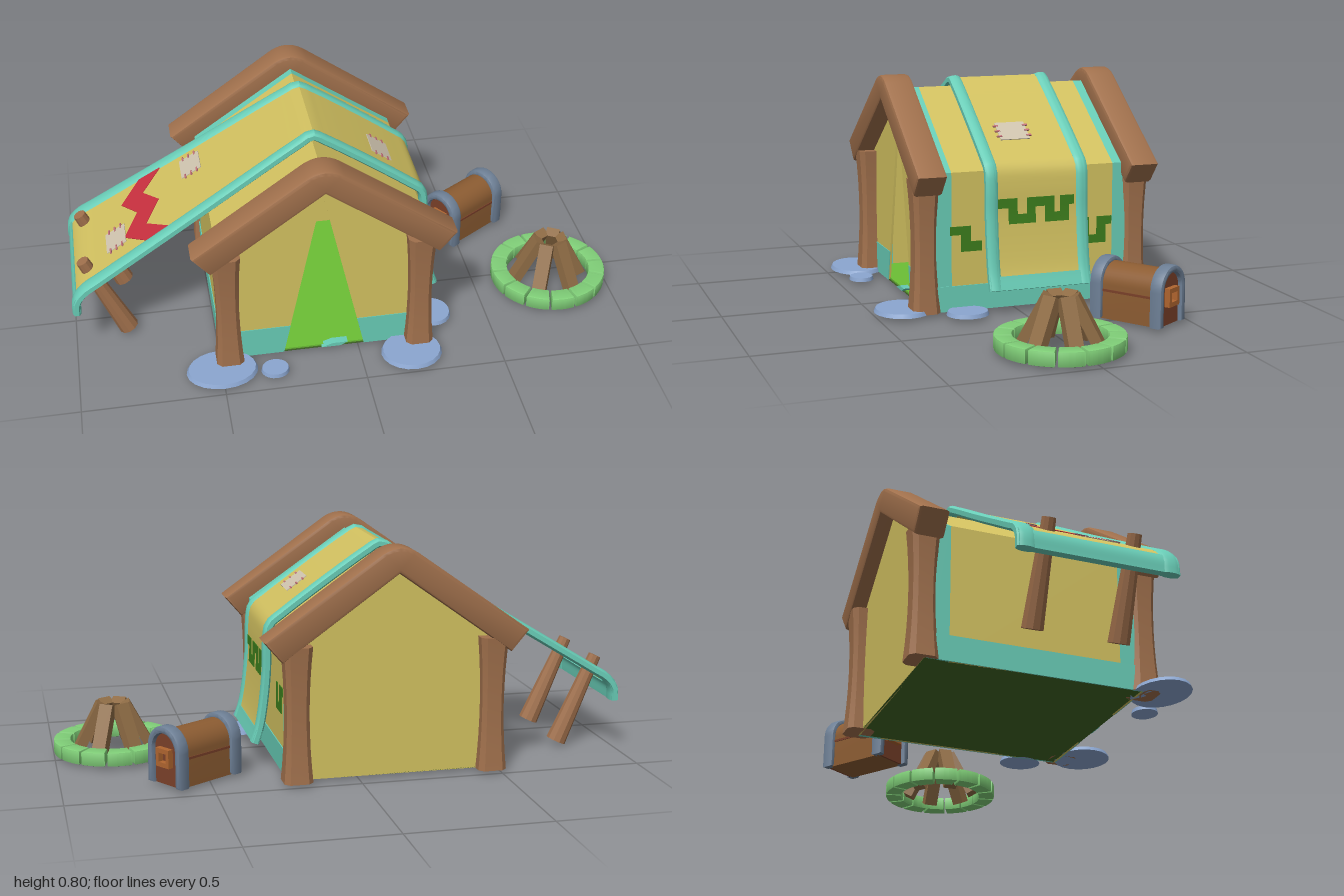
import * as THREE from 'three';
import { toCreasedNormals } from 'three/addons/utils/BufferGeometryUtils.js';

const colors = {
  canvas: 0xd2c160, teal: 0x68ccb6, wood: 0xa0704c, red: 0xc8303f, pattern: 0x3c7d1c, patch: 0xcfc4ae,
  stitch: 0xc07078, stone: 0x8ba6d0, grass: 0x6cbf35, ground: 0x3f6424, fireStone: 0x80cf78, stick: 0x8f6c45,
  iron: 0x6d7f95, chest: 0x8c5c32, chestEnd: 0x7a4029, latch: 0xb0652f,
};
const mats = {};
for (const [k, color] of Object.entries(colors)) mats[k] = new THREE.MeshStandardMaterial({ color, side: THREE.DoubleSide });

const CX = -0.125, HALF = 0.37, EAVE = 0.49, RIDGE = 0.745;

function add(parent, name, geo, mat, x = 0, y = 0, z = 0) {
  const m = new THREE.Mesh(toCreasedNormals(geo, 0.6), mats[mat]);
  m.name = name;
  m.position.set(x, y, z);
  parent.add(m);
  return m;
}
const box = (w, h, d) => new THREE.BoxGeometry(w, h, d);
const poly = (pts) => new THREE.Shape(pts.map(([x, y]) => new THREE.Vector2(x, y)));
function extrude(shape, depth, bevel = 0, steps = 1) {
  const g = new THREE.ExtrudeGeometry(shape, { depth: depth - 2 * bevel, steps, bevelEnabled: bevel > 0,
    bevelSize: bevel, bevelThickness: bevel, bevelOffset: -bevel, bevelSegments: 2, curveSegments: 10 });
  return g.translate(0, 0, bevel);
}

// Wooden post with chamfered corners and a slight waist
function postGeometry(w, h) {
  const a = w / 2, c = a * 0.65;
  const g = extrude(poly([[a, -c], [a, c], [c, a], [-c, a], [-a, c], [-a, -c], [-c, -a], [c, -a]]), h, 0, 8);
  g.rotateX(-Math.PI / 2);
  const p = g.attributes.position;
  for (let i = 0; i < p.count; i++) {
    const k = 0.86 + 0.25 * (2 * p.getY(i) / h - 1) ** 2;
    p.setX(i, p.getX(i) * k);
    p.setZ(i, p.getZ(i) * k);
  }
  return g;
}

// Gabled wooden frame: two posts under a rounded chevron beam
function addFrame(parent, name, z) {
  const f = new THREE.Group();
  f.name = name;
  f.position.set(CX, 0, z);
  const s = new THREE.Shape();
  s.moveTo(0.46, 0.493);
  s.lineTo(0.065, 0.772);
  s.quadraticCurveTo(0, 0.815, -0.065, 0.772);
  s.lineTo(-0.46, 0.493);
  s.lineTo(-0.398, 0.42);
  s.lineTo(0, 0.705);
  s.lineTo(0.398, 0.42);
  add(f, 'gableBeam', extrude(s, 0.107, 0.012), 'wood', 0, 0, -0.0535);
  for (const x of [-0.342, 0.342]) add(f, 'post', postGeometry(0.09, 0.47), 'wood', x, 0, 0);
  parent.add(f);
}

function addTent(parent) {
  const t = new THREE.Group();
  t.name = 'tent';
  parent.add(t);
  // Canvas shell with teal ends
  const k = 0.01;
  const shell = poly([[HALF, 0], [HALF, EAVE], [0, RIDGE], [-HALF, EAVE], [-HALF, 0],
    [-HALF + k, 0], [-HALF + k, EAVE - k / 2], [0, RIDGE - k], [HALF - k, EAVE - k / 2], [HALF - k, 0]]);
  for (const [name, mat, z0, z1] of [['canvasShell', 'canvas', -0.365, 0.24], ['frontEdging', 'teal', 0.24, 0.32],
    ['backEdging', 'teal', -0.445, -0.365]]) add(t, name, extrude(shell, z1 - z0), mat, CX, 0, z0);
  for (const s of [-1, 1]) add(t, 'wallHem', box(0.005, 0.09, 0.76), 'teal', CX + s * (HALF + 0.001), 0.045, -0.0625);
  // Back wall, and front wall halves around the entrance
  add(t, 'backWall', extrude(poly([[-HALF, 0], [HALF, 0], [HALF, EAVE], [0, RIDGE], [-HALF, EAVE]]), 0.01), 'canvas', CX, 0, -0.45);
  const slope = 0.145 / 0.665;
  for (const s of [-1, 1]) {
    const half = [[0.145, 0], [HALF, 0], [HALF, EAVE], [0, RIDGE], [0, 0.665]].map(([x, y]) => [s * x, y]);
    add(t, 'frontWall', extrude(poly(half), 0.008), 'canvas', CX, 0, 0.312);
    const hem = [[0.145, 0], [HALF, 0], [HALF, 0.115], [0.145 - 0.115 * slope, 0.115]].map(([x, y]) => [s * x, y]);
    add(t, 'frontHem', extrude(poly(hem), 0.003), 'teal', CX, 0, 0.3195);
  }
  add(t, 'flapCorner', extrude(poly([[-0.01, 0.006], [0.06, 0.006], [0.085, 0.02], [0.03, 0.02]]), 0.03), 'teal', CX, 0, 0.3);
  add(t, 'floor', box(0.73, 0.006, 0.76), 'grass', CX, 0.006, -0.065);
  add(t, 'groundSheet', box(0.74, 0.003, 0.77), 'ground', CX, 0.0015, -0.065);
  // Stepped pattern on the side wall: z from, z to, y from, y to
  for (const [a, b, c, d] of [[0.17, 0.245, 0.27, 0.3], [0.17, 0.205, 0.21, 0.3], [0.13, 0.205, 0.21, 0.245],
    [-0.275, -0.25, 0.205, 0.3], [-0.34, -0.25, 0.205, 0.235], [-0.34, -0.305, 0.205, 0.3], [-0.362, -0.305, 0.27, 0.3]])
    add(t, 'wallPattern', box(0.004, d - c, b - a), 'pattern', CX + HALF + 0.001, (c + d) / 2, (a + b) / 2);
  addFrame(t, 'frontFrame', 0.333);
  addFrame(t, 'backFrame', -0.452);
}

// Long cloth over the ridge: an awning on one side, a hanging drape on the other
function addCloth(parent) {
  const g = new THREE.Group();
  g.name = 'awningCloth';
  parent.add(g);
  const curve = new THREE.CatmullRomCurve3([[-0.985, 0.175], [-0.98, 0.225], [-0.95, 0.262], [-0.9, 0.293], [-0.55, 0.508],
    [-0.17, 0.744], [-0.125, 0.768], [-0.08, 0.744], [0.22, 0.535], [0.265, 0.497], [0.275, 0.44], [0.278, 0.33], [0.292, 0.2],
    [0.305, 0.13], [0.322, 0.078]].map(([x, y]) => new THREE.Vector3(x, y, 0)), false, 'centripetal');
  curve.arcLengthDivisions = 600;
  const width = (x) => 0.19 + 0.094 * Math.max(0, CX - x);
  const findU = (test) => { let u = 0; while (u < 1 && !test(curve.getPointAt(u))) u += 0.001; return Math.min(u, 1); };
  const uX = (x) => findU((p) => p.x > x);
  const uY = (y) => findU((p) => p.x > 0 && p.y < y);
  const qZ = (z, x = 0) => (z + 0.0625) / width(x);

  // Slab following the cloth: u along it, q across it (-1..1), h off its surface
  function slab(name, mat, u0, u1, q0, q1, h, thick, n = 1, shear = 0, round = 0) {
    const geo = new THREE.BoxGeometry(1, 1, 1, n, 1, round ? 6 : 1);
    const p = geo.attributes.position;
    for (let i = 0; i < p.count; i++) {
      const k = p.getZ(i) + 0.5;
      const u = THREE.MathUtils.clamp(u0 + (u1 - u0) * (p.getX(i) + 0.5) + shear * k, 0, 1);
      const off = h + p.getY(i) * thick * (1 - round * Math.abs(2 * k - 1) ** 3);
      const c = curve.getPointAt(u), d = curve.getTangentAt(u);
      p.setXYZ(i, c.x - d.y * off, c.y + d.x * off, -0.0625 + (q0 + (q1 - q0) * k) * width(c.x));
    }
    add(g, name, geo, mat);
  }
  slab('clothPanel', 'canvas', 0.005, 0.995, -0.95, 0.95, 0, 0.016, 90);
  slab('edgeTrim', 'teal', 0, 1, -1, -0.77, 0, 0.032, 90, 0, 0.5);
  slab('edgeTrim', 'teal', 0, 1, 0.77, 1, 0, 0.032, 90, 0, 0.5);
  slab('awningHem', 'teal', 0, uX(-0.975), -0.98, 0.98, 0, 0.024, 6);
  slab('drapeHem', 'teal', uY(0.125), 1, -0.98, 0.98, 0, 0.024, 4);
  // Zigzag on the awning
  const zig = [-0.672, -0.748, -0.695, -0.748, -0.672].map((x) => [uX(x - 0.04), uX(x + 0.04)]);
  for (let i = 0; i < 4; i++)
    slab('zigzag', 'red', zig[i][0], zig[i][1], -0.8 + 0.4 * i, -0.4 + 0.4 * i, 0.008, 0.005, 2, zig[i + 1][0] - zig[i][0]);
  // Meander on the drape: z from, z to, y from, y to
  const [lo, hi, m1, m2] = [0.305, 0.395, 0.338, 0.362];
  for (const [a, b, c, d] of [[0.012, 0.085, m2, hi], [0.012, 0.045, lo, hi], [-0.055, 0.045, lo, m1], [-0.055, -0.023, lo, hi],
    [-0.125, -0.023, m2, hi], [-0.125, -0.09, lo, hi], [-0.18, -0.09, lo, m1], [-0.18, -0.147, lo, hi], [-0.2, -0.147, m2, hi]])
    slab('meander', 'pattern', uY(d), uY(c), qZ(a), qZ(b), 0.008, 0.005, 3);
  // Sewn patches with stitches
  for (const [x, z] of [[0.13, -0.023], [-0.53, -0.15], [-0.82, 0.01]]) {
    const q = qZ(z, x), w = 0.055 / width(x), u0 = uX(x - 0.035), u1 = uX(x + 0.035);
    slab('patch', 'patch', u0, u1, q - w, q + w, 0.008, 0.006);
    for (const s of [-1, 1]) for (const f of [0.2, 0.5, 0.8]) {
      const u = u0 + (u1 - u0) * f;
      slab('stitch', 'stitch', u - 0.0015, u + 0.0015, q + s * w - 0.05, q + s * w + 0.05, 0.009, 0.008);
    }
  }
  // Leaning awning poles
  for (const z of [-0.21, 0.08]) {
    const pole = add(g, 'awningPole', new THREE.CylinderGeometry(0.023, 0.036, 0.345, 10), 'wood', -0.879, 0.16, z);
    pole.rotation.z = 0.42;
  }
}

function arch(w, h, hole) {
  const trace = (p, a, top) => {
    p.moveTo(-a, 0);
    p.lineTo(a, 0);
    p.lineTo(a, top - a);
    p.absarc(0, top - a, a, 0, Math.PI, false);
    p.lineTo(-a, 0);
    return p;
  };
  if (!hole) return trace(new THREE.Shape(), w, h);
  // Band open at the bottom
  const s = new THREE.Shape();
  s.moveTo(w, 0);
  s.lineTo(w, h - w);
  s.absarc(0, h - w, w, 0, Math.PI, false);
  s.lineTo(-w, 0);
  s.lineTo(-w + hole, 0);
  s.lineTo(-w + hole, h - w);
  s.absarc(0, h - w, w - hole, Math.PI, 0, true);
  s.lineTo(w - hole, 0);
  return s;
}

function addChest(parent) {
  const c = new THREE.Group();
  c.name = 'chest';
  c.position.set(0.545, 0, -0.328);
  c.rotation.y = 0.58 + Math.PI / 2;
  parent.add(c);
  add(c, 'chestBody', extrude(arch(0.07, 0.19), 0.24), 'chest', 0, 0, -0.12);
  for (const s of [-1, 1]) {
    add(c, 'chestSeam', box(0.006, 0.008, 0.19), 'chestEnd', s * 0.07, 0.1, 0);
    add(c, 'endBand', extrude(arch(0.083, 0.206, 0.026), 0.048, 0.01), 'iron', 0, 0, s * 0.119 - 0.024);
    add(c, 'endPanel', extrude(arch(0.06, 0.182), 0.008), 'chestEnd', 0, 0, s * 0.122 - 0.004);
    for (const k of [-1, 1]) {
      add(c, 'handleSide', box(0.014, 0.06, 0.022), 'latch', k * 0.025, 0.098, s * 0.135);
      add(c, 'handleBar', box(0.064, 0.016, 0.022), 'latch', 0, 0.098 + k * 0.024, s * 0.135);
    }
  }
}

function addCampfire(parent) {
  const f = new THREE.Group();
  f.name = 'campfire';
  f.position.set(0.785, 0, 0.055);
  parent.add(f);
  const n = 14, a = Math.PI / n - 0.022;
  const s = new THREE.Shape();
  s.absarc(0, 0, 0.215, -a, a, false);
  s.absarc(0, 0, 0.155, a, -a, true);
  for (let i = 0; i < n; i++) {
    const stone = add(f, 'ringStone', extrude(s, 0.05, 0.005), 'fireStone');
    stone.rotation.set(-Math.PI / 2, 0, (i + 0.5) / n * Math.PI * 2);
  }
  for (let i = 0; i < 6; i++) {
    const arm = new THREE.Group();
    arm.name = 'firewood';
    arm.rotation.y = i * Math.PI / 3;
    add(arm, 'stick', box(0.036, 0.185, 0.05), 'stick', 0.085, 0.092, 0).rotation.z = 0.48;
    f.add(arm);
  }
}

export function createModel() {
  const model = new THREE.Group();
  model.name = 'campsite';
  addTent(model);
  addCloth(model);
  addChest(model);
  addCampfire(model);
  // Flat stones around the entrance
  for (const [x, z, rx, rz] of [[-0.5, 0.385, 0.127, 0.098], [-0.315, 0.415, 0.05, 0.045], [0.18, 0.4, 0.11, 0.1], [0.3, 0.2, 0.068, 0.075]])
    add(model, 'flatStone', new THREE.CylinderGeometry(0.94, 1, 0.014, 20).scale(rx, 1, rz), 'stone', x, 0.007, z);
  return model;
}
